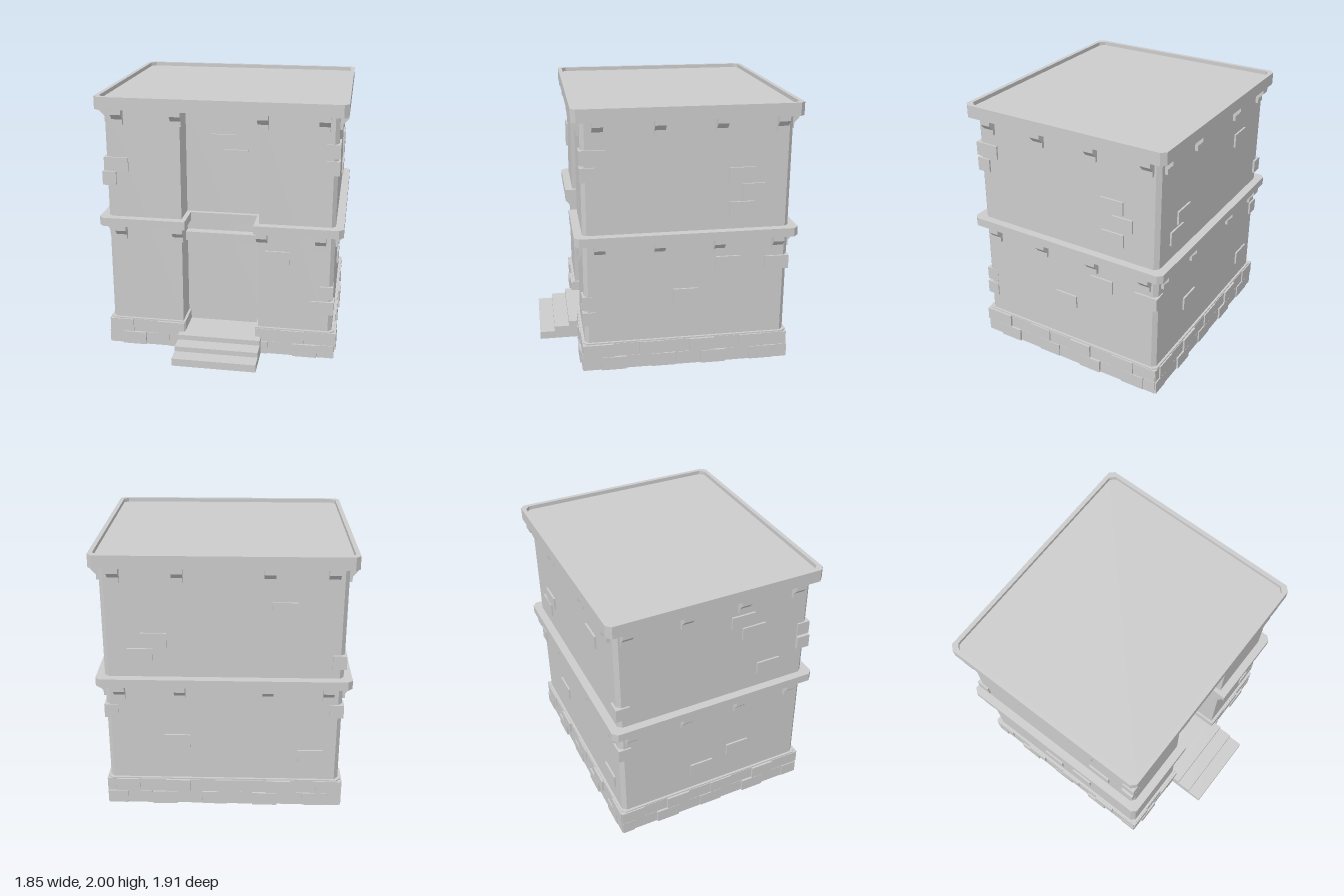
import * as THREE from 'three';

const material = new THREE.MeshStandardMaterial({ color: 0xcccccc, flatShading: true });

// Wall planes of the building body
const X = 0.865, ZF = 0.63, ZB = -0.895;

// Chamfered footprint grown by e, with an optional notch at the front for the entrance recess
function outline(e, c = 0.03, notch = null) {
  const x = X + e, f = ZF + e, b = ZB - e;
  const p = [[x, f - c], [x, b + c], [x - c, b], [-x + c, b], [-x, b + c], [-x, f - c], [-x + c, f]];
  if (notch) {
    const [n, z] = notch;
    p.push([-n, f], [-n, z], [n, z], [n, f]);
  }
  p.push([x - c, f]);
  return p.map(([px, pz]) => new THREE.Vector2(px, -pz));
}

// Upright extrusion of a footprint, hollow when a hole is given
function prism(outer, y0, y1, hole) {
  const shape = new THREE.Shape(outer);
  if (hole) shape.holes.push(new THREE.Path(hole));
  const g = new THREE.ExtrudeGeometry(shape, { depth: y1 - y0, bevelEnabled: false });
  return g.rotateX(-Math.PI / 2).translate(0, y0, 0);
}

function box(x0, x1, y0, y1, z0, z1) {
  return new THREE.BoxGeometry(x1 - x0, y1 - y0, z1 - z0)
    .translate((x0 + x1) / 2, (y0 + y1) / 2, (z0 + z1) / 2);
}

// Block on a face: along = x or z position, out = how far it stands proud of the wall
function faceBlock(face, along, y, w, h, out, depth) {
  const a0 = along - w / 2, a1 = along + w / 2, y0 = y - h / 2, y1 = y + h / 2;
  const i = out - depth;
  switch (face) {
    case 'front': return box(a0, a1, y0, y1, ZF + i, ZF + out);
    case 'back': return box(a0, a1, y0, y1, ZB - out, ZB - i);
    case 'left': return box(X + i, X + out, y0, y1, a0, a1);
    case 'right': return box(-X - out, -X - i, y0, y1, a0, a1);
    default: return box(a0, a1, y0, y1, 0.42 + i, 0.42 + out); // recess back wall
  }
}

export function createModel() {
  const model = new THREE.Group();
  const group = (name) => {
    const g = new THREE.Group();
    g.name = name;
    model.add(g);
    return g;
  };
  const add = (name, geometry, parent = model) => {
    const m = new THREE.Mesh(geometry, material);
    m.name = name;
    parent.add(m);
    return m;
  };

  // Hollow walls with the full-height entrance recess
  add('walls', prism(outline(0, 0.03, [0.295, 0.42]), 0.2, 1.93, outline(-0.01, 0.03, [0.305, 0.41])));

  // Plinth, middle band, roof cornice with raised rim
  add('plinth', prism(outline(0.018, 0.03, [0.277, 0.415]), 0, 0.22, outline(-0.015, 0.03, [0.31, 0.39])));
  add('middleBand', prism(outline(0.062, 0.035, [0.26, 0.455]), 1.005, 1.07, outline(-0.005, 0.03, [0.3, 0.415])));
  add('roofCornice', prism(outline(0.062, 0.035), 1.905, 1.97));
  add('roofRim', prism(outline(0.062, 0.035), 1.97, 2, outline(0.03, 0.035)));

  // Lintel above the entrance
  add('lintel', box(-0.295, 0.295, 0.85, 0.92, 0.41, 0.49));

  // Entrance steps
  const steps = group('steps');
  [[0.06, 0.955], [0.1, 0.838], [0.14, 0.722]].forEach(([top, front], i) =>
    add('step', box(-0.323, 0.323, i ? top - 0.04 : 0, top, 0.6, front), steps));
  add('landing', box(-0.29, 0.29, 0.02, 0.14, 0.41, 0.61), steps);

  // Brackets below both ledges
  const brackets = group('brackets');
  const profile = new THREE.Shape([[-0.005, 0], [-0.005, -0.115], [0.022, -0.115], [0.022, -0.075],
    [0.059, -0.035], [0.059, 0]].map(([a, b]) => new THREE.Vector2(a, b)));
  const bracket = new THREE.ExtrudeGeometry(profile, { depth: 0.08, bevelEnabled: false }).translate(0, 0, -0.04);
  for (const y of [1.905, 1.005]) {
    for (const x of [-0.76, -0.32, 0.32, 0.76]) {
      for (const s of [1, -1]) {
        const m = add('bracket', bracket, brackets);
        m.rotation.y = -s * Math.PI / 2;
        m.position.set(x, y, s > 0 ? ZF : ZB);
      }
    }
    for (const z of [0.51, 0.073, -0.37, -0.81]) {
      for (const s of [1, -1]) {
        const m = add('bracket', bracket, brackets);
        m.rotation.y = s > 0 ? 0 : Math.PI;
        m.position.set(s * X, y, z);
      }
    }
  }

  // Scattered bricks standing out of the walls: [along, y, width]
  const wallBricks = group('wallBricks');
  const L = 0.185, S = 0.105;
  const scattered = {
    recess: [[-0.007, 1.64, L], [0.093, 1.523, L]],
    front: [[0.437, 0.805, L], [-0.785, 1.485, L], [-0.842, 1.372, S], [0.815, 0.54, S], [0.782, 0.415, L]],
    left: [[0.55, 1.647, L], [0.588, 1.522, S], [-0.527, 1.483, L], [-0.615, 1.36, 0.16],
      [-0.532, 1.225, L], [-0.443, 0.805, L], [-0.812, 0.788, L], [-0.125, 0.565, L]],
    right: [[0.08, 1.705, L], [0.17, 1.59, L], [0.31, 1.235, L], [-0.86, 1.2, S],
      [-0.23, 0.41, L], [0.08, 0.5, L]],
    back: [[0.5, 1.36, L], [0.6, 1.24, L], [-0.43, 1.6, L], [0.345, 0.54, L], [-0.645, 0.42, L], [-0.825, 0.805, S]],
  };
  for (const [face, list] of Object.entries(scattered))
    for (const [a, y, w] of list)
      add('wallBrick', faceBlock(face, a, y, w, 0.105, 0.014, 0.1), wallBricks);

  // Two courses of plinth bricks, with small changes in how far they stand out
  const plinthBricks = group('plinthBricks');
  const runs = [
    ['front', -X - 0.02, -0.28], ['front', 0.28, X + 0.02], ['back', -X - 0.02, X + 0.02],
    ['left', ZB - 0.02, ZF + 0.02], ['right', ZB - 0.02, ZF + 0.02],
  ];
  let k = 0;
  for (const [face, start, end] of runs) {
    for (let row = 0; row < 2; row++) {
      let a = start, w = row ? 0.19 : 0.1;
      while (a < end - 0.01) {
        const b = end - a - w < 0.06 ? end : a + w;
        const out = [0.021, 0.029, 0.024, 0.036][(k * 7 + row) % 4];
        const depth = [0.1, 0.07, 0.14][k % 3];
        add('plinthBrick', faceBlock(face, (a + b) / 2, 0.053 + row * 0.106, b - a - 0.004, 0.103, out, depth), plinthBricks);
        a = b;
        w = 0.19;
        k++;
      }
    }
  }

  return model;
}
